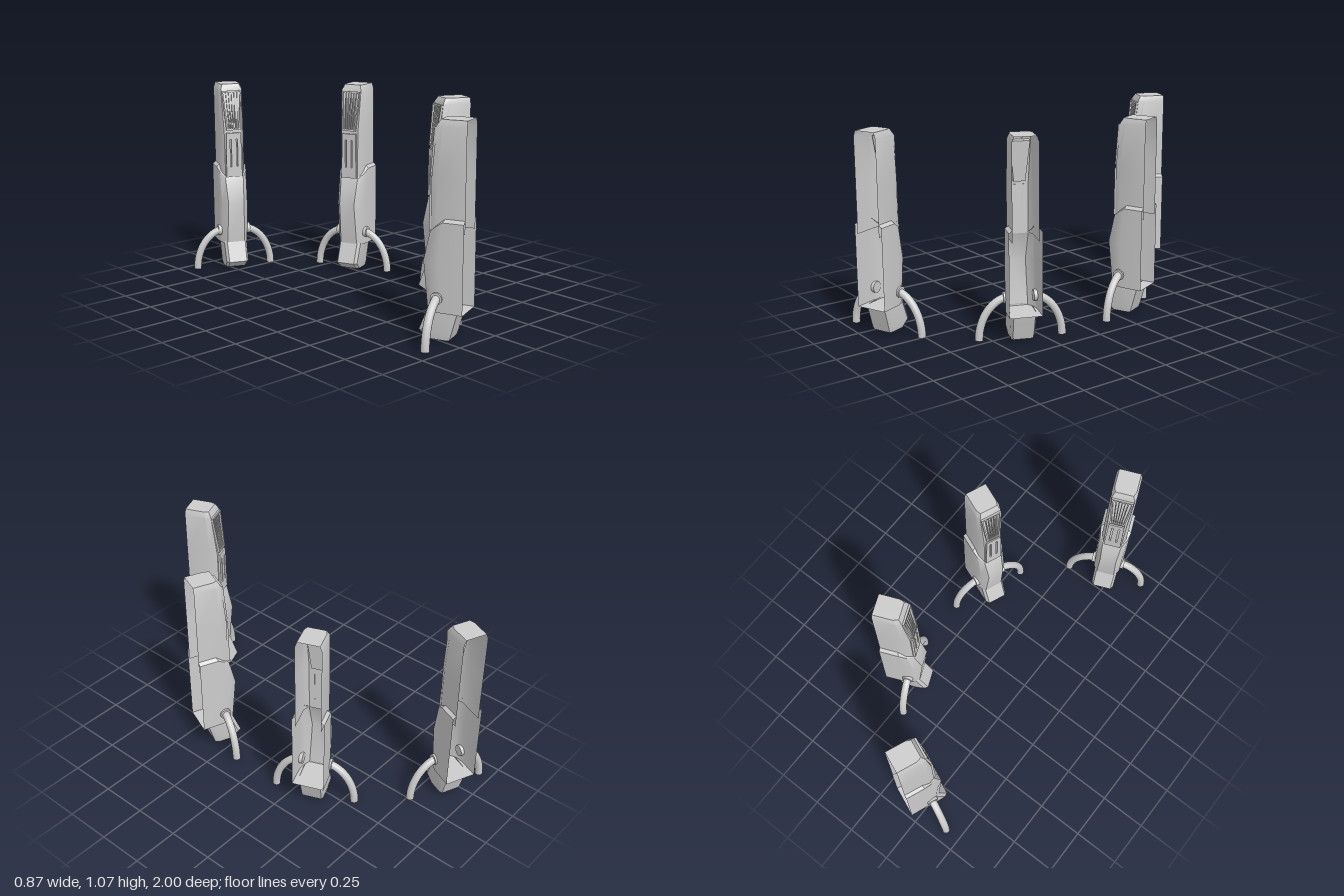
import * as THREE from 'three';
import { toCreasedNormals } from 'three/addons/utils/BufferGeometryUtils.js';

const material = new THREE.MeshStandardMaterial({ color: 0xcccccc, side: THREE.DoubleSide });

function addMesh(parent, name, geometry) {
  const mesh = new THREE.Mesh(geometry, material);
  mesh.name = name;
  parent.add(mesh);
  return mesh;
}

// Skin over mirrored half sections; every ring is a list of [x, y, z] with x >= 0
function loft(halfRings, crease = 0.5) {
  const rings = halfRings.map(h => [...h, ...h.slice().reverse().map(([x, y, z]) => [-x, y, z])]);
  const n = rings[0].length, index = [];
  for (let r = 0; r < rings.length - 1; r++) {
    for (let i = 0; i < n - 1; i++) {
      const a = r * n + i, b = a + n;
      index.push(a, b, a + 1, a + 1, b, b + 1);
    }
  }
  const g = new THREE.BufferGeometry();
  g.setAttribute('position', new THREE.Float32BufferAttribute(rings.flat(2), 3));
  g.setIndex(index);
  g.computeVertexNormals();
  return toCreasedNormals(g, crease);
}

// Collapses a ring on to the centre line to close a shell
const closeRing = ring => ring.map(([, y, z]) => [0, y, z]);

// Flat panel with sloping sides, optionally with holes of the same kind
function trapezoid(path, bottom, top, y0, y1, x = 0) {
  path.moveTo(x - bottom, y0);
  path.lineTo(x + bottom, y0);
  path.lineTo(x + top, y1);
  path.lineTo(x - top, y1);
  path.closePath();
  return path;
}
const extrude = (shape, depth) =>
  new THREE.ExtrudeGeometry(shape, { depth, bevelEnabled: false });

// One pillar: open back at z = 0, front towards +z
function createPillar() {
  const pillar = new THREE.Group();
  pillar.name = 'pillar';

  // Upper housing, open at the back
  const upperRing = (y, w, f, d) => [[w, y, 0], [w, y, d * 0.8], [f, y, d]];
  const roof = upperRing(1.07, 0.058, 0.048, 0.135);
  addMesh(pillar, 'upperHousing', loft([
    upperRing(0.54, 0.068, 0.05, 0.176),
    upperRing(0.8, 0.068, 0.052, 0.176),
    upperRing(1.04, 0.068, 0.06, 0.152),
    roof, closeRing(roof),
  ]));

  // Lower housing, its top edge notched around the front panel
  const lowerRing = (y, f, d) =>
    [[0.085, y, 0], [0.083, y, d * 0.6], [0.074, y, d * 0.82], [f, y, d]];
  const base = lowerRing(0.15, 0.05, 0.188);
  addMesh(pillar, 'lowerHousing', loft([
    closeRing(base), base,
    lowerRing(0.39, 0.045, 0.215),
    [[0.085, 0.59, 0], [0.085, 0.59, 0.107], [0.077, 0.565, 0.145], [0.052, 0.535, 0.18]],
    [[0.068, 0.605, 0], [0.068, 0.605, 0.1], [0.066, 0.575, 0.138], [0.05, 0.545, 0.175]],
  ]));

  // Slanted foot
  const footRing = (w, back, yBack, front, yFront) => [
    [0, yBack, back], [w * 0.85, yBack, back], [w, yBack, back + 0.02],
    [w, yFront, front - 0.02], [w * 0.8, yFront, front], [0, yFront, front]];
  const sole = footRing(0.06, 0.075, 0.008, 0.19, 0.008);
  addMesh(pillar, 'foot', loft([
    footRing(0.066, 0.035, 0.15, 0.187, 0.16),
    footRing(0.064, 0.068, 0.03, 0.232, 0.045),
    sole, closeRing(sole),
  ]));

  // Air grille with fanned fins, set along the sloping upper front
  const grille = new THREE.Group();
  grille.name = 'grille';
  grille.position.set(0, 0.81, 0.176);
  grille.rotation.x = -0.11;
  pillar.add(grille);
  const frame = trapezoid(new THREE.Shape(), 0.04, 0.058, 0, 0.225);
  frame.holes.push(trapezoid(new THREE.Path(), 0.032, 0.05, 0.01, 0.215));
  addMesh(grille, 'grilleFrame', extrude(frame, 0.012));
  for (let i = -2; i <= 2; i++) {
    const fin = addMesh(grille, 'grilleFin', new THREE.BoxGeometry(0.005, 0.21, 0.01));
    fin.position.set(i * 0.0135, 0.1125, 0.004);
    fin.rotation.z = -i * 0.028;
  }
  // Duct behind the grille
  const duct = addMesh(grille, 'grilleDuct',
    extrude(trapezoid(new THREE.Shape(), 0.03, 0.05, 0.01, 0.22), 0.03));
  duct.position.z = -0.032;

  // Slotted panel below the grille
  const panel = trapezoid(new THREE.Shape(), 0.046, 0.042, 0.54, 0.795);
  for (const x of [-0.018, 0.018]) {
    panel.holes.push(trapezoid(new THREE.Path(), 0.004, 0.004, 0.6, 0.76, x));
  }
  addMesh(pillar, 'frontPanel', extrude(panel, 0.014)).position.z = 0.174;

  // Curved side legs with collars through the housing wall
  for (const side of [-1, 1]) {
    const points = [];
    for (let i = 0; i <= 8; i++) {
      const a = (0.9 - 0.9 * i / 8) * Math.PI / 2;
      points.push(new THREE.Vector3(side * (0.045 + 0.173 * Math.cos(a)), 0.225 * Math.sin(a), 0.131));
    }
    const curve = new THREE.CatmullRomCurve3(points);
    addMesh(pillar, 'sideLeg', new THREE.TubeGeometry(curve, 24, 0.021, 14));
    const legEnd = addMesh(pillar, 'legEnd', new THREE.CircleGeometry(0.021, 14));
    legEnd.rotation.x = Math.PI / 2;
    legEnd.position.set(side * 0.218, 0.001, 0.131);
    const collar = addMesh(pillar, 'legCollar', new THREE.CylinderGeometry(0.03, 0.03, 0.028, 20));
    collar.rotation.z = Math.PI / 2;
    collar.position.set(side * 0.079, 0.22, 0.131);
  }
  return pillar;
}

export function createModel() {
  const model = new THREE.Group();
  model.name = 'pillarRing';
  // Four pillars on one side of an octagon, fronts facing its centre
  const centreX = -0.56, radius = 1.046;
  for (const degrees of [-67.5, -22.5, 22.5, 67.5]) {
    const a = THREE.MathUtils.degToRad(degrees);
    const pillar = createPillar();
    pillar.position.set(centreX + radius * Math.cos(a), 0, radius * Math.sin(a));
    pillar.rotation.y = Math.atan2(-Math.cos(a), -Math.sin(a));
    model.add(pillar);
  }
  return model;
}
